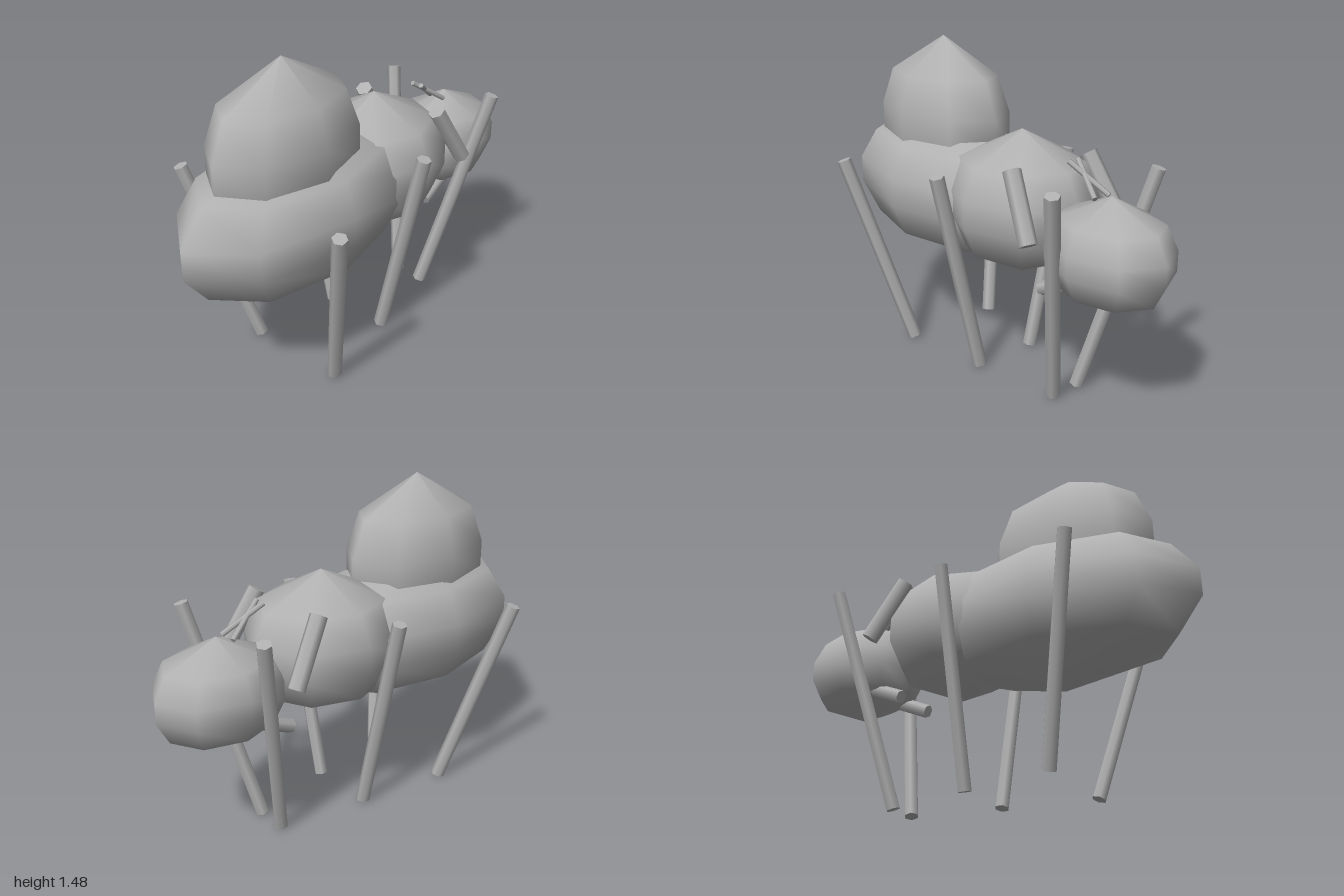
import * as THREE from 'three';

const grey = new THREE.MeshStandardMaterial({ color: 0xb0b0b0 });
grey.name = 'plain grey';

// Blunt eight-sided ellipsoid with pointed poles
function blob(name, center, radii) {
  const profile = [[0, -1], [0.82, -0.59], [1, -0.18], [1, 0.18], [0.82, 0.59], [0, 1]]
    .map(([r, y]) => new THREE.Vector2(r, y));
  const geometry = new THREE.LatheGeometry(profile, 8);
  geometry.scale(...radii);
  const mesh = new THREE.Mesh(geometry, grey);
  mesh.name = name;
  mesh.position.set(...center);
  return mesh;
}

// Straight six-sided rod between two points
function rod(name, from, to, radius) {
  const a = new THREE.Vector3(...from);
  const b = new THREE.Vector3(...to);
  const dir = b.clone().sub(a);
  const mesh = new THREE.Mesh(new THREE.CylinderGeometry(radius, radius, dir.length(), 6), grey);
  mesh.name = name;
  mesh.position.copy(a).add(b).multiplyScalar(0.5);
  mesh.quaternion.setFromUnitVectors(new THREE.Vector3(0, 1, 0), dir.normalize());
  return mesh;
}

export function createModel() {
  const model = new THREE.Group();
  model.name = 'insect';

  // Body segments
  model.add(
    blob('abdomen', [0, 0.785, 0.37], [0.345, 0.36, 0.63]),
    blob('hump', [0, 1.065, 0.425], [0.245, 0.415, 0.39]),
    blob('thorax', [0, 0.815, -0.15], [0.32, 0.333, 0.365]),
    blob('head', [0, 0.735, -0.7], [0.235, 0.25, 0.3]),
  );

  // Paired limbs: name, lower end, upper end, radius
  const limbs = [
    ['rearLeg', [0.235, 0.008, 0.395], [0.46, 0.915, 0.607], 0.033],
    ['middleLeg', [0.155, 0.008, -0.035], [0.375, 0.972, -0.035], 0.033],
    ['frontLeg', [0.07, 0.008, -0.46], [0.295, 1.04, -0.675], 0.033],
    ['shoulderStub', [0.26, 0.775, -0.5], [0.215, 1.045, -0.34], 0.04],
    ['mouthStub', [0.11, 0.52, -0.415], [0.1, 0.61, -0.62], 0.032],
    ['antenna', [0.04, 0.965, -0.645], [-0.025, 1.08, -0.475], 0.012],
  ];
  for (const side of [1, -1]) {
    const prefix = side > 0 ? 'left' : 'right';
    for (const [name, low, high, radius] of limbs) {
      const mirror = ([x, y, z]) => [x * side, y, z];
      model.add(rod(prefix + name[0].toUpperCase() + name.slice(1), mirror(low), mirror(high), radius));
    }
  }
  return model;
}
